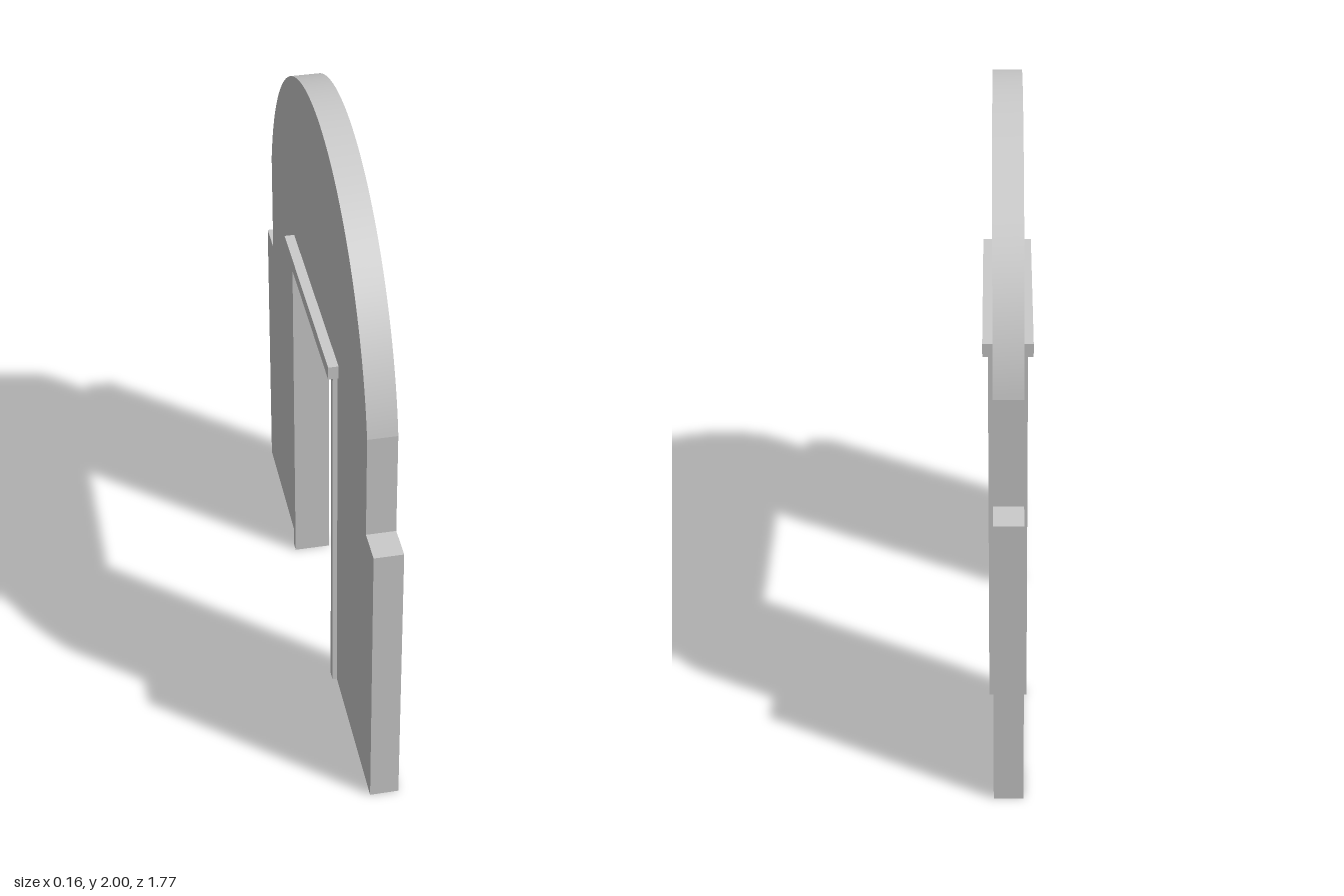
import * as THREE from 'three';
import { toCreasedNormals } from 'three/addons/utils/BufferGeometryUtils.js';

export function createModel() {
  const model = new THREE.Group();
  const material = new THREE.MeshStandardMaterial({ color: 0xcccccc });
  const add = (name, geometry, x = 0, y = 0, z = 0) => {
    const mesh = new THREE.Mesh(geometry, material);
    mesh.name = name;
    mesh.position.set(x, y, z);
    model.add(mesh);
  };

  // Wall sizes, as half widths along z
  const base = 0.885, upper = 0.777, opening = 0.34;
  const step = 1.0, spring = 1.36, top = 2, openingTop = 1.3;
  const thickness = 0.092;

  // Arc through both spring points and the top
  const rise = top - spring;
  const radius = (upper * upper + rise * rise) / (2 * rise);
  const centreY = top - radius;
  const start = Math.atan2(spring - centreY, upper);

  // Arched wall with shoulders and a doorway
  const outline = new THREE.Shape();
  outline.moveTo(opening, 0);
  outline.lineTo(base, 0);
  outline.lineTo(base, step);
  outline.lineTo(upper, step);
  outline.lineTo(upper, spring);
  outline.absarc(0, centreY, radius, start, Math.PI - start, false);
  outline.lineTo(-upper, step);
  outline.lineTo(-base, step);
  outline.lineTo(-base, 0);
  outline.lineTo(-opening, 0);
  outline.lineTo(-opening, openingTop);
  outline.lineTo(opening, openingTop);
  outline.closePath();
  const wall = new THREE.ExtrudeGeometry(outline, {
    depth: thickness, bevelEnabled: false, curveSegments: 64,
  });
  wall.translate(0, 0, -thickness / 2);
  wall.rotateY(Math.PI / 2);
  add('archedWall', toCreasedNormals(wall, 0.15));

  // Door jambs, one on each side of the opening
  for (const side of [1, -1]) {
    add(side > 0 ? 'frontJamb' : 'backJamb',
      new THREE.BoxGeometry(0.122, 1.28, 0.03), 0, 0.64, side * 0.335);
  }

  // Lintel across the top of the opening
  add('lintel', new THREE.BoxGeometry(0.156, 0.045, 0.728), 0, 1.2975, 0);

  return model;
}
